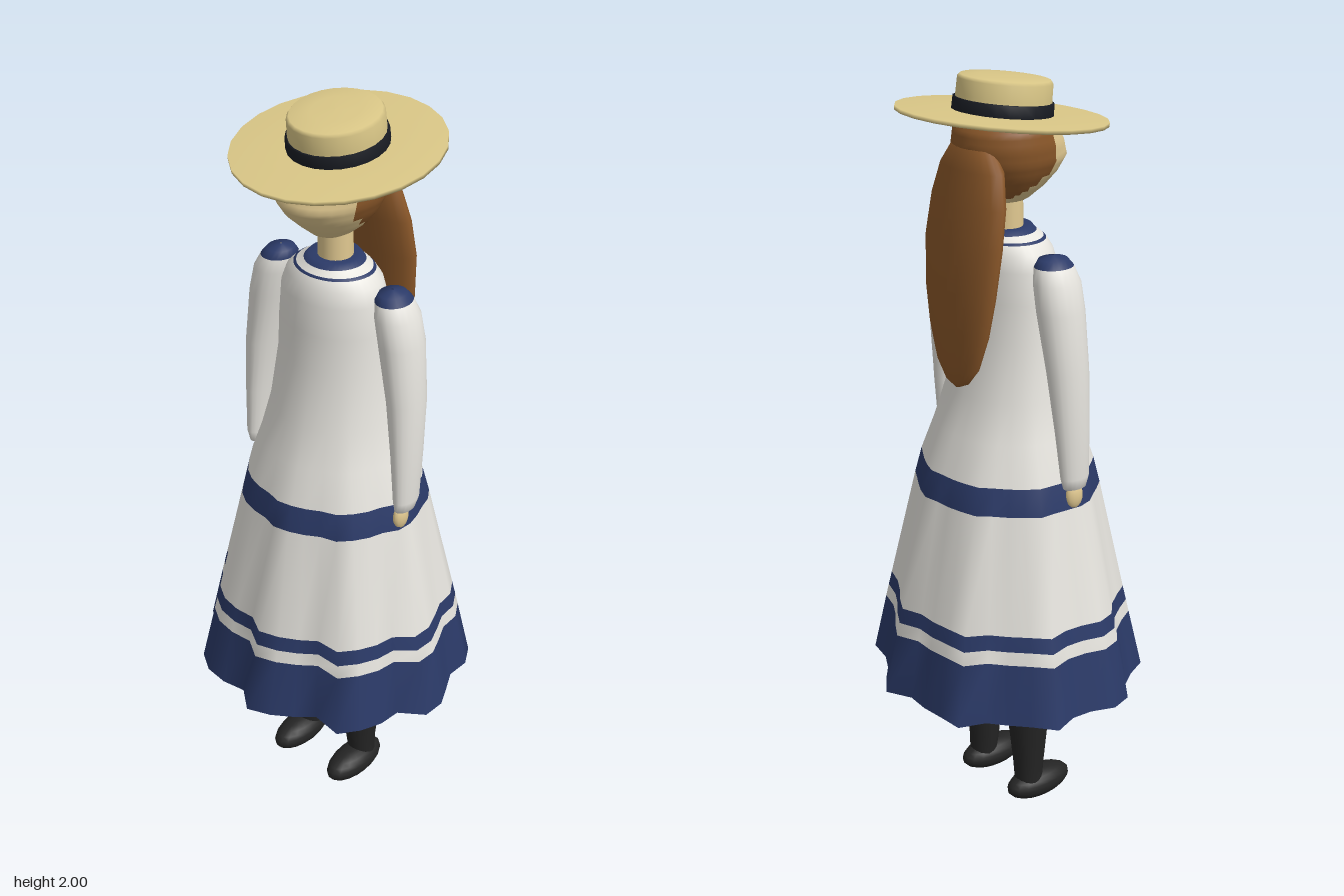
import * as THREE from 'three';

const paint = (name, color) => {
  const m = new THREE.MeshStandardMaterial({ color, side: THREE.DoubleSide });
  m.name = name;
  return m;
};

// Smooth skin over rings listed bottom to top; pick(y, z, row) chooses a material index per quad
function loft(name, rows, segs, point, mats, pick = () => 0) {
  const pos = [], faces = mats.map(() => []);
  rows.forEach((r) => {
    for (let j = 0; j < segs; j++) pos.push(...point(r, (j / segs) * Math.PI * 2, j));
  });
  for (let i = 0; i < rows.length - 1; i++) {
    for (let j = 0; j < segs; j++) {
      const a = i * segs + j, b = i * segs + ((j + 1) % segs), c = a + segs, d = b + segs;
      const mid = (k) => (pos[a * 3 + k] + pos[b * 3 + k] + pos[c * 3 + k] + pos[d * 3 + k]) / 4;
      faces[pick(mid(1), mid(2), i)].push(a, b, d, a, d, c);
    }
  }
  const g = new THREE.BufferGeometry();
  g.setAttribute('position', new THREE.Float32BufferAttribute(pos, 3));
  g.setIndex(faces.flat());
  let start = 0;
  faces.forEach((f, k) => {
    g.addGroup(start, f.length, k);
    start += f.length;
  });
  g.computeVertexNormals();
  const mesh = new THREE.Mesh(g, mats);
  mesh.name = name;
  return mesh;
}

// Ellipse ring: [y, centreX, centreZ, radiusX, radiusZ]
const oval = ([y, cx, cz, rx, rz], t) => [cx + rx * Math.sin(t), y, cz + rz * Math.cos(t)];

// Ring with different depth in front and behind: [y, halfWidth, front, back]
const egg = ([y, w, f, b], t) => [w * Math.sin(t), y, Math.cos(t) * (Math.cos(t) > 0 ? f : b)];

// Rings interpolated through sparse control rings along a smooth curve
function refine(rows, n) {
  const out = [];
  for (let i = 0; i <= n; i++) {
    const u = (i / n) * (rows.length - 1), k = Math.min(Math.floor(u), rows.length - 2);
    out.push(rows[k].map((v, c) => v + (rows[k + 1][c] - v) * (u - k)));
  }
  return out;
}

export function createModel() {
  const model = new THREE.Group();
  model.name = 'girlInStrawHat';
  const white = paint('white cloth', 0xe6e4de);
  const navy = paint('navy trim', 0x2b3a68);
  const black = paint('black stocking', 0x242424);
  const ribbon = paint('dark ribbon', 0x1a1d24);
  const skin = paint('skin', 0xe0c890);
  const straw = paint('straw', 0xdac787);
  const brown = paint('brown hair', 0x8a5729);

  const add = (name, geo, mat, parent = model) => {
    const m = new THREE.Mesh(geo, mat);
    m.name = name;
    parent.add(m);
    return m;
  };

  // Dress: hem folds in percent of the full radius, every ten degrees from the front
  const folds = [
    100, 95, 89, 84, 100, 97, 93, 87, 100, 99, 93, 90, 98, 100, 90, 89, 94, 101,
    90, 93, 96, 103, 91, 92, 95, 103, 92, 92, 100, 100, 92, 93, 100, 100, 95, 88];
  const dressRows = [
    [0.39, 0.382, 0.36, 0.355], [0.55, 0.346, 0.322, 0.32], [0.585, 0.338, 0.314, 0.312],
    [0.625, 0.328, 0.305, 0.303], [0.93, 0.255, 0.24, 0.232], [1.0, 0.238, 0.222, 0.212],
    [1.1, 0.203, 0.188, 0.172], [1.2, 0.175, 0.157, 0.138], [1.35, 0.155, 0.128, 0.11],
    [1.45, 0.151, 0.124, 0.105], [1.53, 0.145, 0.118, 0.1], [1.57, 0.13, 0.108, 0.095],
    [1.592, 0.108, 0.096, 0.085], [1.597, 0.1, 0.091, 0.081], [1.609, 0.078, 0.077, 0.07],
    [1.622, 0.066, 0.066, 0.062], [1.618, 0.035, 0.035, 0.035]];
  const navyRows = [0, 2, 4, 12, 14, 15];
  model.add(loft('dress', dressRows, 36, (r, t, j) => {
    const depth = THREE.MathUtils.clamp((1.25 - r[0]) / 0.86, 0, 1);
    const s = 1 - depth * (1 - folds[j] / 100);
    const [x, y, z] = egg(r, t);
    return [x * s, y, z * s];
  }, [white, navy], (y, z, i) => (navyRows.includes(i) ? 1 : 0)));

  // Sleeves with navy shoulder caps, hands, stockings and shoes
  for (const s of [1, -1]) {
    const side = s > 0 ? 'left' : 'right';
    const sleeve = [
      [0.985, 0.25, 0.02, 0.004, 0.006], [0.99, 0.25, 0.02, 0.02, 0.034],
      [1.02, 0.252, 0.018, 0.026, 0.042], [1.15, 0.246, 0.012, 0.034, 0.05],
      [1.3, 0.235, 0.005, 0.045, 0.058], [1.45, 0.212, 0, 0.054, 0.064],
      [1.52, 0.197, 0, 0.052, 0.063], [1.557, 0.185, 0, 0.044, 0.052],
      [1.575, 0.181, 0, 0.033, 0.038], [1.583, 0.18, 0, 0.003, 0.003]]
      .map(([y, x, ...rest]) => [y, x * s, ...rest]);
    model.add(loft(side + 'Sleeve', sleeve, 20, oval, [white, navy], (y) => (y > 1.557 ? 1 : 0)));

    const hand = add(side + 'Hand', new THREE.SphereGeometry(1, 14, 10), skin);
    hand.scale.set(0.016, 0.036, 0.026);
    hand.position.set(0.242 * s, 0.962, 0.026);

    const stocking = [
      [0.04, 0.1, 0, 0.036, 0.036], [0.12, 0.097, 0.002, 0.042, 0.042],
      [0.25, 0.097, 0, 0.055, 0.055], [0.39, 0.098, 0, 0.062, 0.062],
      [0.75, 0.095, 0, 0.07, 0.07], [0.76, 0.095, 0, 0.005, 0.005]]
      .map(([y, x, ...rest]) => [y, x * s, ...rest]);
    model.add(loft(side + 'Stocking', stocking, 18, oval, [black]));

    const shoe = add(side + 'Shoe', new THREE.SphereGeometry(1, 18, 12), black);
    shoe.scale.set(0.049, 0.042, 0.103);
    shoe.position.set(0.1 * s, 0.042, 0.035);
  }

  // Neck
  add('neck', new THREE.CylinderGeometry(0.043, 0.045, 0.16, 18), skin).position.set(0, 1.66, 0);

  // Head with the hairline stepping back towards the nape
  const headRows = [
    [1.662, 0.008, 0.015, 0.02], [1.69, 0.05, 0.07, 0.05], [1.72, 0.085, 0.105, 0.08],
    [1.755, 0.11, 0.142, 0.105], [1.79, 0.126, 0.165, 0.125], [1.83, 0.131, 0.15, 0.135],
    [1.87, 0.126, 0.125, 0.13], [1.91, 0.09, 0.08, 0.09], [1.93, 0.004, 0.004, 0.004]];
  model.add(loft('headAndHairline', refine(headRows, 24), 32, egg, [skin, brown],
    (y, z) => (z < 0.055 - Math.max(0, 1.77 - y) * 1.25 ? 1 : 0)));

  // Long hair down the back
  const hairRows = [
    [1.228, 0, -0.155, 0.006, 0.004], [1.245, 0, -0.155, 0.042, 0.017],
    [1.29, 0, -0.152, 0.078, 0.028], [1.38, 0, -0.148, 0.11, 0.037],
    [1.48, 0, -0.143, 0.13, 0.043], [1.6, 0, -0.132, 0.141, 0.046],
    [1.7, 0, -0.116, 0.135, 0.046], [1.78, 0, -0.104, 0.112, 0.044],
    [1.83, 0, -0.1, 0.075, 0.035], [1.85, 0, -0.1, 0.006, 0.005]];
  model.add(loft('longHair', hairRows, 24, oval, [brown]));

  // Straw hat, tipped forward
  const hat = new THREE.Group();
  hat.name = 'hat';
  hat.position.set(0, 1.895, -0.01);
  hat.rotation.x = 0.115;
  hat.scale.z = 1.04;
  model.add(hat);
  const lathe = (name, pts, mat) =>
    add(name, new THREE.LatheGeometry(pts.map(([x, y]) => new THREE.Vector2(x, y)), 24), mat, hat);
  lathe('brim', [[0, -0.006], [0.12, -0.006], [0.255, -0.005], [0.255, 0.005], [0.11, 0.006]], straw);
  lathe('crown', [[0.117, 0], [0.115, 0.045], [0.114, 0.082], [0.108, 0.09], [0.06, 0.094], [0, 0.095]], straw);
  lathe('hatBand', [[0.117, 0.006], [0.122, 0.007], [0.121, 0.036], [0.115, 0.037]], ribbon);

  return model;
}
